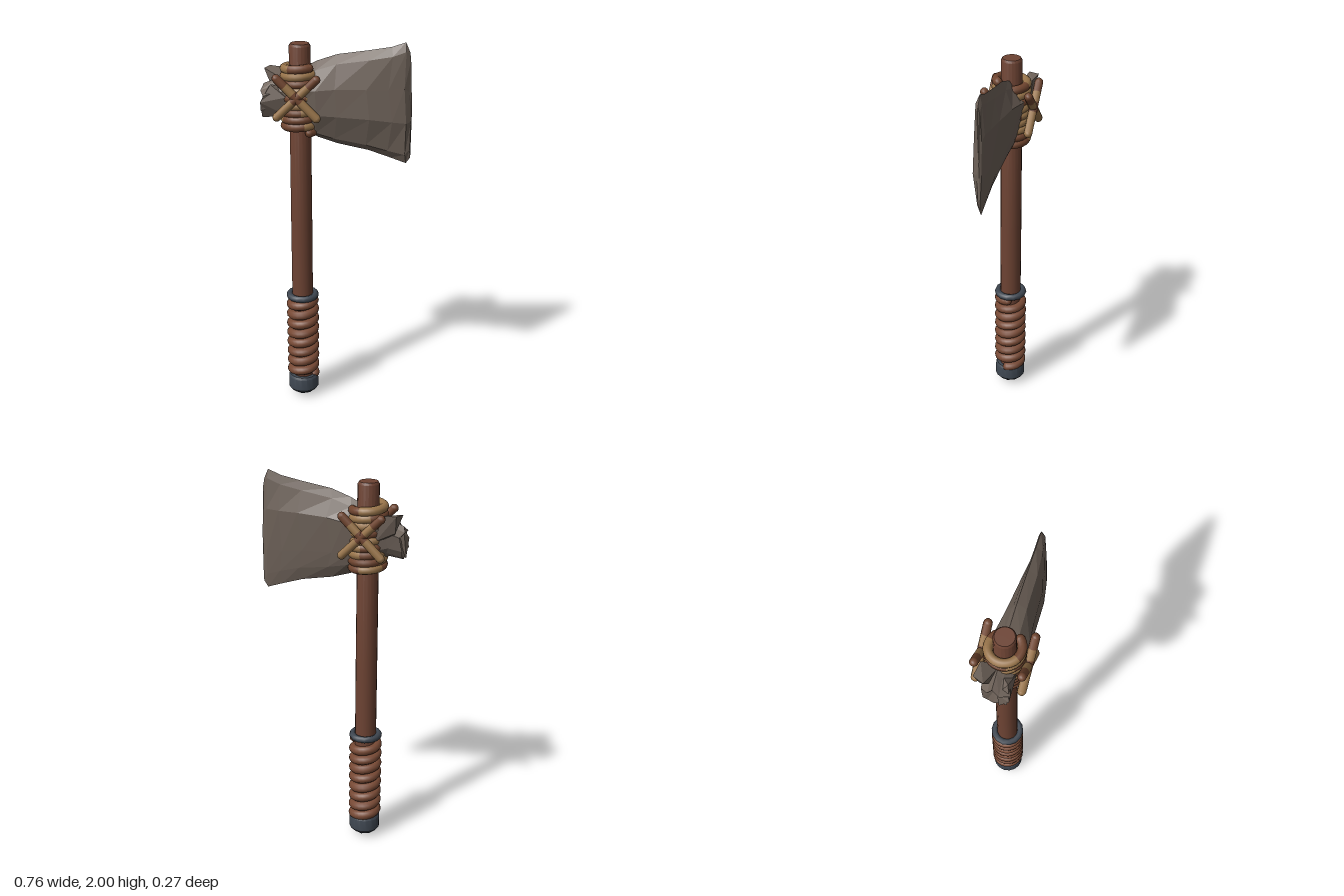
import * as THREE from 'three';
import { toCreasedNormals } from 'three/addons/utils/BufferGeometryUtils.js';
import { ConvexGeometry } from 'three/addons/geometries/ConvexGeometry.js';

const AXIS = -0.19; // x of the shaft

const mat = (name, color) => {
  const m = new THREE.MeshStandardMaterial({ color });
  m.name = name;
  return m;
};
const stone = mat('stone', 0x6e6259);
const wood = mat('wood', 0x6d4333);
const leather = mat('leather', 0x774934);
const iron = mat('iron', 0x3e4650);
const rope = mat('rope', 0x98744a);
const ropeStain = mat('ropeStain', 0x70452f);

function add(parent, name, geometry, material, x = 0, y = 0, z = 0) {
  const mesh = new THREE.Mesh(geometry, material);
  mesh.name = name;
  mesh.position.set(x, y, z);
  parent.add(mesh);
  return mesh;
}

const lathe = (pts, sides) => toCreasedNormals(
  new THREE.LatheGeometry(pts.map(p => new THREE.Vector2(...p)), sides), 0.6);

// Rising coil around the shaft
class Coil extends THREE.Curve {
  constructor(radius, y0, y1, turns, start) {
    super();
    Object.assign(this, { radius, y0, y1, turns, start });
  }
  getPoint(t, out = new THREE.Vector3()) {
    const a = this.start + t * this.turns * Math.PI * 2;
    return out.set(this.radius * Math.cos(a), this.y0 + (this.y1 - this.y0) * t, -this.radius * Math.sin(a));
  }
}

// Round cord with closed ends; pick(t) gives the material index along its length
function cord(parent, name, curve, radius, steps, materials, pick) {
  const sides = 10;
  const group = new THREE.Group();
  group.name = name;
  parent.add(group);
  const geometry = new THREE.TubeGeometry(curve, steps, radius, sides);
  for (let i = 0; i < steps; i++) geometry.addGroup(i * sides * 6, sides * 6, pick((i + 0.5) / steps));
  add(group, name + 'Strand', geometry, materials);
  for (const t of [0, 1]) {
    const p = curve.getPoint(t);
    add(group, name + 'End', new THREE.SphereGeometry(radius, sides, 6), materials[pick(t)], p.x, p.y, p.z);
  }
  return group;
}

// Chipped stone blade lofted through sections along x
function bladeGeometry() {
  // x, bottom, top, front z, back z
  const sections = [
    [-0.375, 1.60, 1.77, 0.075, -0.055],
    [-0.30, 1.61, 1.80, 0.058, -0.06],
    [-0.21, 1.56, 1.84, 0.084, -0.08],
    [-0.10, 1.50, 1.895, 0.088, -0.07],
    [0.00, 1.47, 1.93, 0.08, -0.056],
    [0.16, 1.44, 1.955, 0.072, -0.042],
    [0.27, 1.405, 1.975, 0.05, -0.032],
    [0.35, 1.378, 2.0, 0.032, -0.026],
    [0.372, 1.41, 1.95, 0.008, -0.018],
  ];
  // height fraction, width fraction, side
  const ring = [
    [0, 0, 1], [0.1, 0.5, 1], [0.33, 0.95, 1], [0.66, 1, 1], [0.91, 0.5, 1],
    [1, 0, 1], [0.92, 0.45, -1], [0.68, 1, -1], [0.34, 0.9, -1], [0.1, 0.5, -1],
  ];
  const n = ring.length;
  const chip = (i, j) => Math.sin(i * 12.9 + j * 78.2);
  const pos = [], index = [];
  sections.forEach(([x, y0, y1, zf, zb], i) => ring.forEach(([h, w, side], j) => {
    const k = h === 0 || h === 1 ? 0 : chip(i, j);
    pos.push(x + (i > 6 ? -0.012 * h + 0.004 * k : 0.012 * k), y0 + (y1 - y0) * h + 0.014 * k,
      (side > 0 ? zf : zb) * w * (1 + 0.1 * k) + (w ? 0 : 0.006 * chip(i, j + 3)));
  }));
  for (let i = 0; i < sections.length - 1; i++) {
    for (let j = 0; j < n; j++) {
      const a = i * n + j, b = i * n + (j + 1) % n;
      index.push(a, a + n, b + n, a, b + n, b);
    }
  }
  // End faces: broken butt is sunk in the middle
  const last = (sections.length - 1) * n;
  pos.push(-0.345, 1.70, 0.0, 0.375, 1.66, -0.005);
  for (let j = 0; j < n; j++) {
    const k = (j + 1) % n;
    index.push(sections.length * n, j, k, sections.length * n + 1, last + k, last + j);
  }
  const indexed = new THREE.BufferGeometry();
  indexed.setAttribute('position', new THREE.Float32BufferAttribute(pos, 3));
  indexed.setIndex(index);
  const g = indexed.toNonIndexed();
  g.computeVertexNormals();
  return g;
}

export function createModel() {
  const model = new THREE.Group();
  model.name = 'stoneAxe';

  // Shaft, pommel and collar
  const haft = new THREE.Group();
  haft.name = 'haft';
  haft.position.x = AXIS;
  model.add(haft);
  add(haft, 'shaft', lathe([[0, 0.05], [0.056, 0.05], [0.056, 1.0], [0.054, 1.968], [0.047, 1.98], [0, 1.98]], 20), wood);
  add(haft, 'pommel', lathe([[0, 0.03], [0.07, 0.03], [0.082, 0.045], [0.082, 0.11], [0.074, 0.122], [0, 0.122]], 16), iron);
  add(haft, 'pommelStud', lathe([[0, 0], [0.03, 0.008], [0.058, 0.018], [0.058, 0.035]], 8), iron);
  const collar = add(haft, 'collar', new THREE.TorusGeometry(0.07, 0.018, 8, 14), iron, 0, 0.603, 0);
  collar.rotation.x = Math.PI / 2;

  // Leather grip
  cord(haft, 'grip', new Coil(0.063, 0.122, 0.575, 8, 0), 0.025, 200, [leather], () => 0);

  // Stone head with a spur broken out of the butt
  const head = new THREE.Group();
  head.name = 'head';
  model.add(head);
  add(head, 'blade', bladeGeometry(), stone);
  const spur = (name, pts) =>
    add(head, name, new ConvexGeometry(pts.map(p => new THREE.Vector3(...p))), stone);
  spur('backSpur', [[-0.36, 1.84, -0.095], [-0.38, 1.838, -0.04], [-0.28, 1.835, -0.085],
    [-0.35, 1.75, -0.07], [-0.25, 1.70, -0.07], [-0.25, 1.78, 0.0], [-0.32, 1.70, -0.02]]);
  spur('frontSpur', [[-0.38, 1.69, 0.08], [-0.38, 1.60, 0.03], [-0.33, 1.78, 0.06],
    [-0.25, 1.72, 0.075], [-0.25, 1.62, 0.05], [-0.27, 1.76, 0.0], [-0.37, 1.72, 0.02]]);

  // Rope lashing around the shaft, stained in patches
  const ropes = [rope, ropeStain];
  cord(haft, 'lashing', new Coil(0.078, 1.535, 1.868, 9, -Math.PI / 4), 0.023, 260, ropes,
    t => (t < 0.28 ? Math.sin(t * 95) > -0.45 : Math.sin(t * 83 + 1) > 0.45) ? 1 : 0);

  // Crossed ties on both faces
  for (const z of [0.112, -0.115]) {
    for (const s of [1, -1]) {
      const tie = new THREE.LineCurve3(
        new THREE.Vector3(AXIS - 0.1 * s, 1.628, z), new THREE.Vector3(AXIS + 0.1 * s, 1.825, z));
      cord(model, z > 0 ? 'frontTie' : 'backTie', tie, 0.022, 20, ropes,
        t => (t > 0.4 && t < 0.6) || t > 0.8 ? 1 : 0);
    }
  }
  return model;
}
